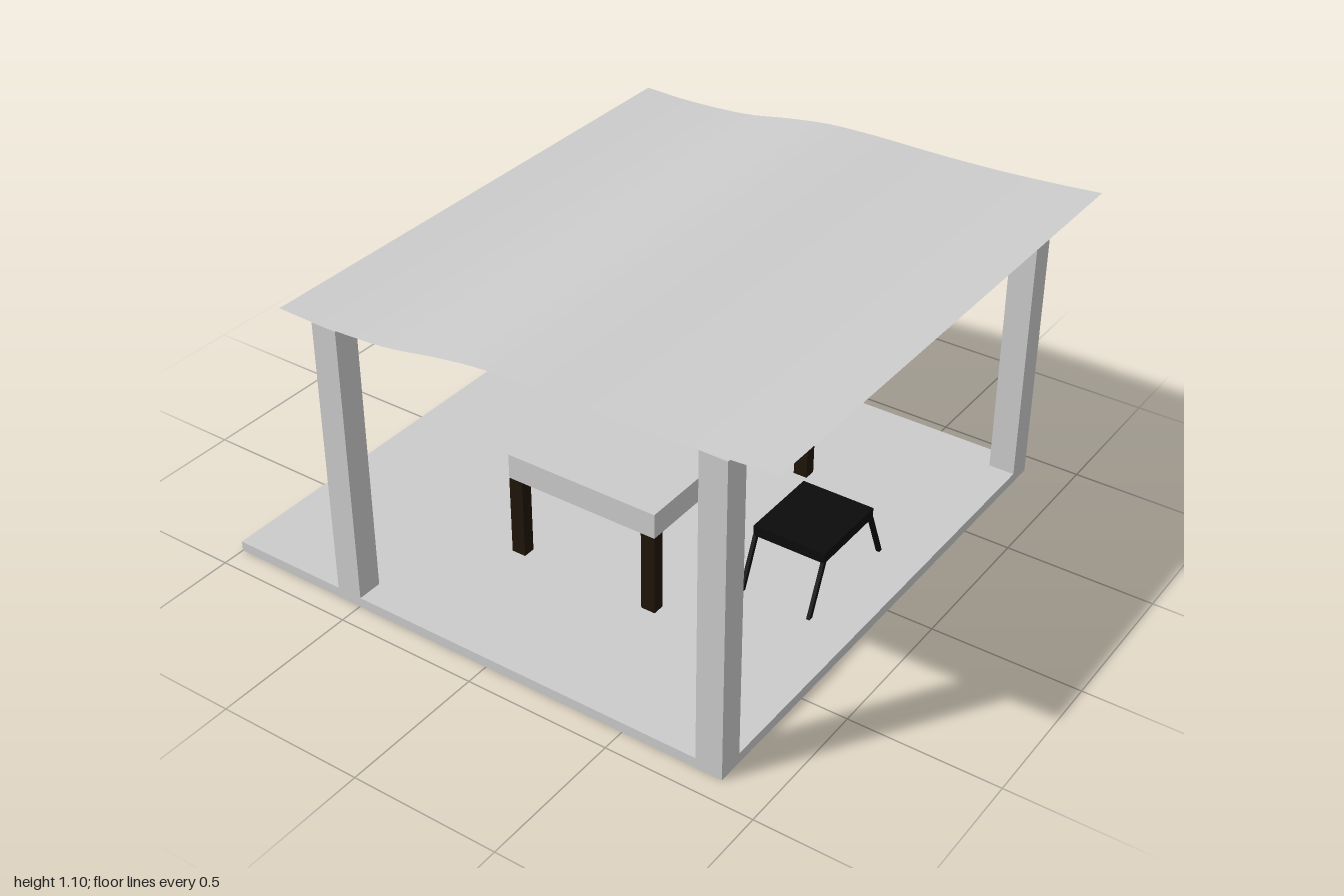
import * as THREE from 'three';

const mat = (color) => new THREE.MeshStandardMaterial({ color });
const grey = mat(0xcccccc);
const wood = mat(0x1f140a);
const black = mat(0x0b0b0c);

// Box given by its min and max corners
function box(name, material, [x0, y0, z0], [x1, y1, z1]) {
  const geometry = new THREE.BoxGeometry(x1 - x0, y1 - y0, z1 - z0);
  geometry.translate((x0 + x1) / 2, (y0 + y1) / 2, (z0 + z1) / 2);
  const mesh = new THREE.Mesh(geometry, material);
  mesh.name = name;
  return mesh;
}

// Thin wavy sheet: a plane whose height follows a curve along x
function makeRoof() {
  const profile = new THREE.SplineCurve([
    [-0.71, 1.0], [-0.53, 0.997], [-0.31, 1.01], [-0.14, 1.04], [0.02, 1.063],
    [0.2, 1.07], [0.42, 1.07], [0.64, 1.075], [0.83, 1.086], [1.0, 1.1],
  ].map(([x, y]) => new THREE.Vector2(x, y)));
  const steps = 36;
  const points = profile.getPoints(steps);
  const geometry = new THREE.PlaneGeometry(1.71, 1.84, steps, 1).rotateX(-Math.PI / 2);
  const pos = geometry.attributes.position;
  for (let i = 0; i < pos.count; i++) {
    const p = points[i % (steps + 1)];
    pos.setXYZ(i, p.x, p.y, pos.getZ(i));
  }
  geometry.computeVertexNormals();
  const roof = new THREE.Mesh(
    geometry,
    new THREE.MeshStandardMaterial({ color: 0xcccccc, side: THREE.DoubleSide })
  );
  roof.name = 'roof';
  return roof;
}

function makeTable() {
  const table = new THREE.Group();
  table.name = 'table';
  table.add(box('tableTop', grey, [-0.262, 0.318, -0.46], [0.29, 0.405, 0.46]));
  for (const x of [-0.262, 0.24]) {
    for (const z of [-0.46, 0.417]) {
      table.add(box('tableLeg', wood, [x, 0.035, z], [x + 0.05, 0.318, z + 0.043]));
    }
  }
  return table;
}

function makeStool() {
  const stool = new THREE.Group();
  stool.name = 'stool';
  stool.add(box('stoolSeat', black, [0.44, 0.205, -0.145], [0.695, 0.241, 0.145]));
  for (const x of [0.44, 0.683]) {
    for (const side of [-1, 1]) {
      const leg = box('stoolLeg', black, [x, 0.035, -0.008], [x + 0.012, 0.207, 0.008]);
      // Splay the leg outwards towards the floor
      const pos = leg.geometry.attributes.position;
      for (let i = 0; i < pos.count; i++) {
        pos.setZ(i, pos.getZ(i) + side * (pos.getY(i) < 0.1 ? 0.21 : 0.139));
      }
      leg.geometry.computeVertexNormals();
      stool.add(leg);
    }
  }
  return stool;
}

export function createModel() {
  const model = new THREE.Group();
  model.name = 'pavilion';

  model.add(box('floor', grey, [-1, 0, -0.92], [0.845, 0.035, 0.92]));

  // Four posts, the pair on the left being taller
  for (const [x, top] of [[-0.585, 0.995], [0.755, 1.08]]) {
    for (const z of [-0.92, 0.833]) {
      model.add(box('post', grey, [x, 0.035, z], [x + 0.09, top, z + 0.087]));
    }
  }

  model.add(makeRoof(), makeTable(), makeStool());
  return model;
}
